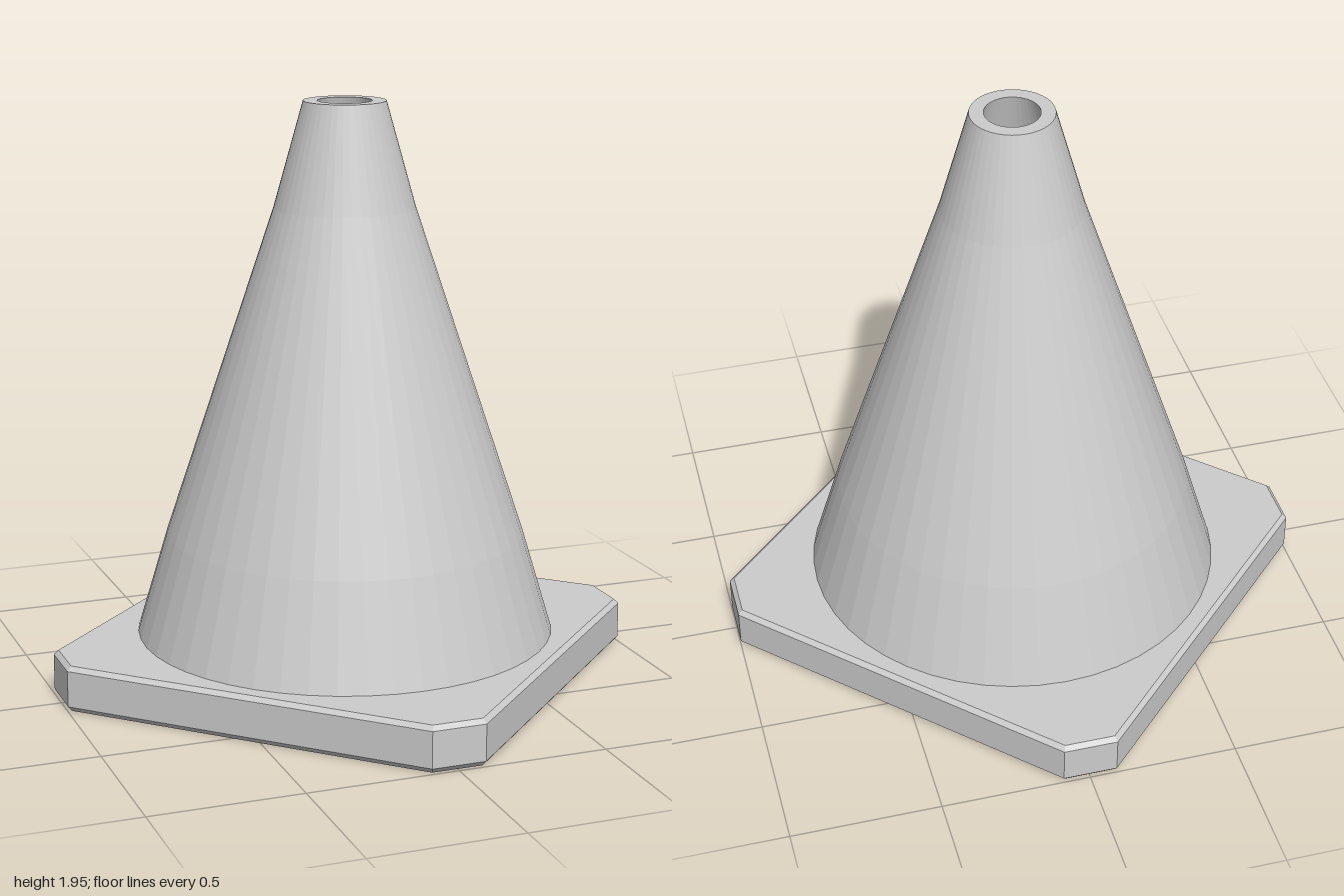
import * as THREE from 'three';

const SEGMENTS = 48;
const material = new THREE.MeshStandardMaterial({ color: 0xcccccc, flatShading: true });

// Square turned 45 degrees with cut corners, counter-clockwise, shrunk by inset
function outline(inset) {
  const a = 1 - inset, c = 0.09 - 0.414 * inset;
  return [[a, -c], [a, c], [c, a], [-c, a], [-a, c], [-a, -c], [-c, -a], [c, -a]]
    .map(([x, y]) => new THREE.Vector2(x, y));
}

// Flat face of the base with a round opening
function plate(inset, holeRadius, y, up) {
  const shape = new THREE.Shape(outline(inset));
  shape.holes.push(new THREE.Path().absarc(0, 0, holeRadius, 0, Math.PI * 2, true));
  return new THREE.ShapeGeometry(shape, SEGMENTS / 2)
    .rotateX(up ? -Math.PI / 2 : Math.PI / 2)
    .translate(0, y, 0);
}

// Side wall of the base, lofted through [inset, height] rings
function wall(rings) {
  const positions = [];
  const loops = rings.map(([inset, y]) => outline(inset).map(p => [p.x, y, -p.y]));
  for (let r = 0; r < loops.length - 1; r++) {
    for (let i = 0; i < 8; i++) {
      const j = (i + 1) % 8;
      const a = loops[r][i], b = loops[r][j], c = loops[r + 1][j], d = loops[r + 1][i];
      positions.push(...a, ...b, ...c, ...a, ...c, ...d);
    }
  }
  const geometry = new THREE.BufferGeometry();
  geometry.setAttribute('position', new THREE.Float32BufferAttribute(positions, 3));
  geometry.computeVertexNormals();
  return geometry;
}

export function createModel() {
  const group = new THREE.Group();
  const add = (name, geometry, parent) => {
    const mesh = new THREE.Mesh(geometry, material);
    mesh.name = name;
    parent.add(mesh);
  };

  // Base slab with small bevels above and below
  const base = new THREE.Group();
  base.name = 'base';
  group.add(base);
  add('baseWall', wall([[0.015, 0], [0, 0.018], [0, 0.14], [0.015, 0.155]]), base);
  add('baseTop', plate(0.015, 0.7, 0.155, true), base);
  add('baseUnderside', plate(0.015, 0.67, 0, false), base);

  // Hollow cone: up the outside, over the rim, down the inside
  const profile = [
    [0.705, 0.155], [0.602, 0.5], [0.235, 1.6], [0.137, 1.95],
    [0.09, 1.95], [0.185, 1.6], [0.55, 0.5], [0.65, 0.155], [0.67, 0],
  ].map(([r, y]) => new THREE.Vector2(r, y));
  add('cone', new THREE.LatheGeometry(profile, SEGMENTS), group);

  return group;
}
